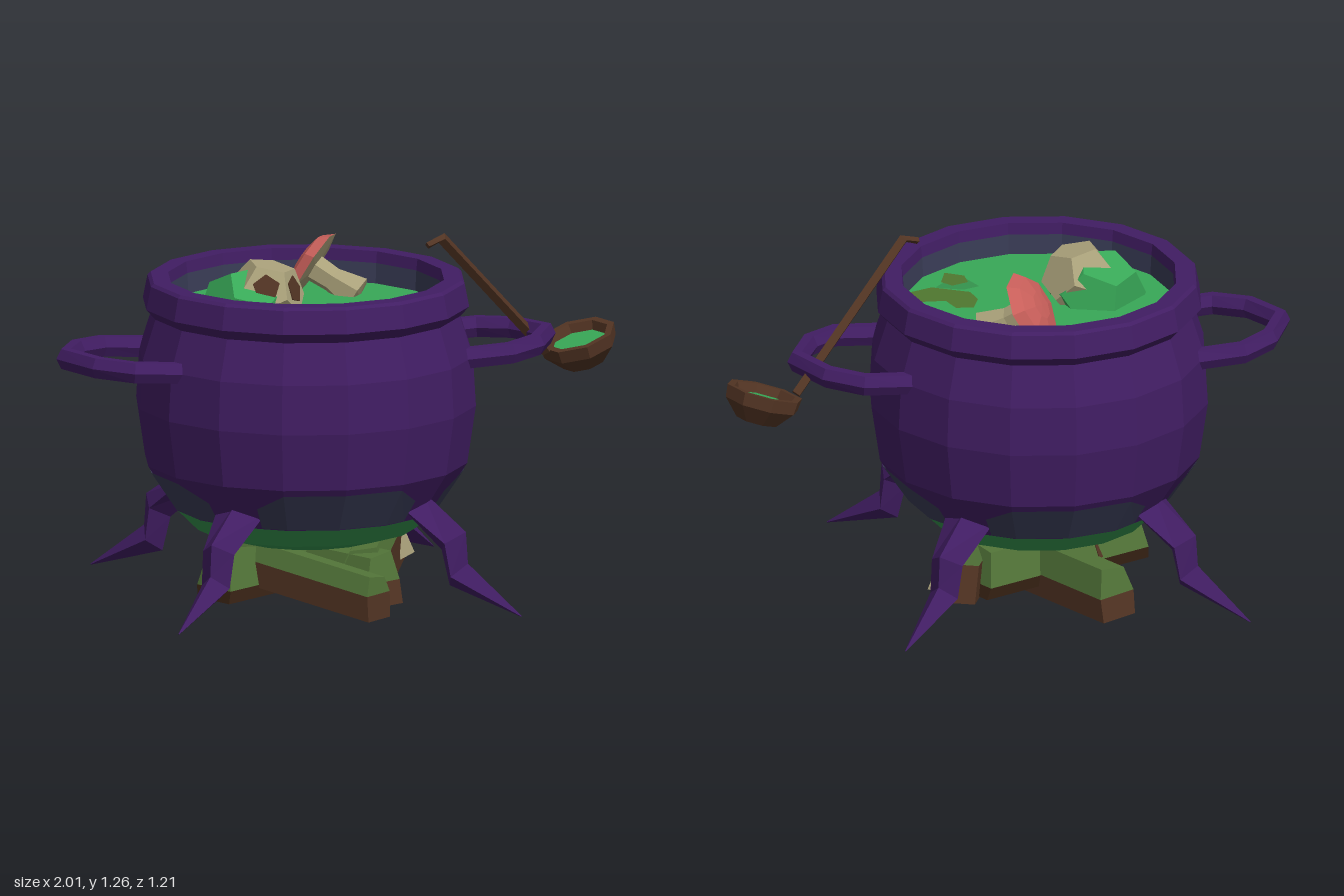
import * as THREE from 'three';

const V = (x, y, z) => new THREE.Vector3(x, y, z);
const CX = -0.125; // pot axis

function makeMaterials() {
  const colors = {
    purpleIron: 0x411d63, stainedIron: 0x393c56, gooGreen: 0x35944e, soupGreen: 0x38a857,
    bone: 0xaaa17a, wood: 0x523423, darkWood: 0x3a2415, moss: 0x527438, capRed: 0xc85f5a, sunkenOlive: 0x50782f,
  };
  const mats = {};
  for (const name in colors) {
    mats[name] = new THREE.MeshStandardMaterial({ color: colors[name], flatShading: true, side: THREE.DoubleSide });
    mats[name].name = name;
  }
  return mats;
}

// Joins cross-sections into a skin; closed rings also get end caps
function loft(rings, closed = true) {
  const n = rings[0].length, pos = [], idx = [];
  rings.forEach(r => r.forEach(p => pos.push(p.x, p.y, p.z)));
  for (let i = 0; i < rings.length - 1; i++) {
    for (let j = 0; j < (closed ? n : n - 1); j++) {
      const k = (j + 1) % n, a = i * n + j, b = i * n + k;
      idx.push(a, b, b + n, a, b + n, a + n);
    }
  }
  const e = (rings.length - 1) * n;
  for (let j = 1; closed && j < n - 1; j++) idx.push(0, j + 1, j, e, e + j, e + j + 1);
  const g = new THREE.BufferGeometry();
  g.setAttribute('position', new THREE.Float32BufferAttribute(pos, 3));
  g.setIndex(idx);
  g.computeVertexNormals();
  return g;
}

// Bar along a path; radii[i] = [across, along up]
function sweep(path, radii, up, sides) {
  return loft(path.map((p, i) => {
    const t = path[Math.min(i + 1, path.length - 1)].clone().sub(path[Math.max(i - 1, 0)]).normalize();
    const s = up.clone().cross(t).normalize(), u = t.clone().cross(s);
    const [a, b] = radii[i];
    return Array.from({ length: sides }, (_, j) => {
      const w = j / sides * Math.PI * 2;
      return p.clone().addScaledVector(s, a * Math.cos(w)).addScaledVector(u, b * Math.sin(w));
    });
  }));
}

const lathe = (pts, n = 16) => new THREE.LatheGeometry(pts.map(p => new THREE.Vector2(...p)), n);

export function createModel() {
  const M = makeMaterials();
  const model = new THREE.Group();
  model.name = 'cauldron';
  const add = (name, geo, mat, parent = model, pos = [0, 0, 0]) => {
    const m = new THREE.Mesh(geo, mat);
    m.name = name;
    m.position.set(...pos);
    parent.add(m);
    return m;
  };

  // Pot
  const pot = new THREE.Group();
  pot.name = 'pot';
  pot.position.x = CX;
  model.add(pot);
  add('potBody', lathe([[0.45, 0.33], [0.555, 0.49], [0.585, 0.69], [0.575, 0.86], [0.53, 1.0],
    [0.562, 1.035], [0.546, 1.115], [0.535, 1.125], [0.475, 1.125], [0.47, 1.085]]), M.purpleIron, pot);
  add('potBottom', lathe([[0, 0.215], [0.25, 0.222], [0.38, 0.26], [0.45, 0.33]]), M.gooGreen, pot);
  add('innerWall', lathe([[0.47, 1.085], [0.465, 1.0]]), M.stainedIron, pot);
  add('soup', lathe([[0.466, 1.015], [0, 1.015]]), M.soupGreen, pot);

  // Stained patches low on the pot, one between each pair of legs
  for (let q = 0; q < 4; q++) {
    const cols = [-34, -22.5, 0, 22.5, 34].map(d => {
      const f = Math.abs(d) % 22.5, edge = Math.abs(d) === 34;
      const k = Math.cos(Math.PI / 16) / Math.cos(THREE.MathUtils.degToRad(f - 11.25));
      const w = THREE.MathUtils.degToRad(d + q * 90);
      const prof = edge ? [[0.508, 0.41], [0.455, 0.333]] : [[0.545, 0.468], [0.455, 0.333]];
      return prof.map(([r, y]) => V(Math.sin(w) * r * k, y, Math.cos(w) * r * k));
    });
    add('stainPatch', loft(cols, false), M.stainedIron, pot);
  }

  // Legs with pointed feet
  for (let q = 0; q < 4; q++) {
    const leg = add('leg', sweep(
      [V(0.43, 0.385, 0), V(0.585, 0.265, 0), V(0.605, 0.15, 0), V(0.853, 0.03, 0)],
      [[0.05, 0.095], [0.06, 0.062], [0.055, 0.055], [0.002, 0.002]], V(0, 0, 1), 4), M.purpleIron, pot);
    leg.rotation.y = Math.PI / 4 + q * Math.PI / 2;
  }

  // Side handles
  for (const s of [1, -1]) {
    const path = [[0.5, -0.23], [0.66, -0.23], [0.77, -0.15], [0.845, 0], [0.77, 0.15], [0.66, 0.23], [0.5, 0.23]]
      .map(([x, z]) => V(x, 0.86 + (x - 0.5) * 0.06, z));
    const handle = add('handle', sweep(path, Array(7).fill([0.034, 0.04]), V(0, 1, 0), 6), M.purpleIron, pot);
    if (s < 0) handle.rotation.y = Math.PI;
  }

  // Ladle
  const ladle = new THREE.Group();
  ladle.name = 'ladle';
  model.add(ladle);
  add('ladleStick', sweep([V(0.27, 1.235, 0.125), V(0.325, 1.255, 0.105), V(0.745, 0.8, -0.095)],
    [[0.012, 0.012], [0.02, 0.02], [0.02, 0.02]], V(-0.41, 0, -0.91), 4), M.wood, ladle);
  const bowl = new THREE.Group();
  bowl.name = 'ladleBowl';
  bowl.position.set(0.865, 0.84, -0.143);
  bowl.quaternion.setFromUnitVectors(V(0, 1, 0), V(-0.28, 0.95, 0.127).normalize());
  ladle.add(bowl);
  add('bowlShell', lathe([[0, -0.115], [0.075, -0.105], [0.13, -0.045], [0.135, 0], [0.11, 0], [0.092, -0.04]], 8), M.wood, bowl);
  add('bowlSoup', lathe([[0.097, -0.03], [0, -0.03]], 8), M.soupGreen, bowl);

  // Firewood: wood below, moss above, with slanted ends
  const fire = new THREE.Group();
  fire.name = 'firewood';
  model.add(fire);
  const prism = (pts, len, slant) => {
    const g = new THREE.ExtrudeGeometry(new THREE.Shape(pts.map(p => new THREE.Vector2(...p))), { depth: len, bevelEnabled: false });
    g.translate(0, 0, -len / 2);
    const p = g.attributes.position;
    for (let i = 0; i < p.count; i++) p.setZ(i, p.getZ(i) + slant * p.getY(i) * Math.sign(p.getZ(i)));
    g.computeVertexNormals();
    return g;
  };
  // start, end, half width, half height, moss line (share of half height), end slant, wood material
  const logs = [
    [[-0.47, 0.12, 0.1], [0.14, 0.15, -0.22], 0.085, 0.085, -0.5, -0.2, M.darkWood],
    [[-0.35, 0.165, -0.02], [0.02, 0.085, 0.43], 0.065, 0.075, 0.15, -0.2, M.wood],
    [[0.08, 0.11, 0.26], [-0.3, 0.11, -0.43], 0.075, 0.09, -0.1, -0.2, M.wood],
    [[0.02, 0.11, 0.2], [0.22, 0.165, -0.28], 0.07, 0.1, 0.3, -0.2, M.wood],
  ];
  for (const [a, b, w, h, line, slant, woodMat] of logs) {
    const log = new THREE.Group();
    const A = V(...a), B = V(...b), len = A.distanceTo(B), m = h * line;
    log.name = 'log';
    log.position.copy(A).add(B).multiplyScalar(0.5);
    log.lookAt(B);
    fire.add(log);
    add('logWood', prism([[-w, -h], [w * 0.9, -h], [w, m], [-w, m]], len, slant), woodMat, log);
    add('logMoss', prism([[-w, m], [w, m], [w * 0.6, h * 0.85], [-w * 0.7, h]], len, slant), M.moss, log);
  }
  // Pale split piece leaning against the pile
  add('splitWood', sweep([V(0.25, 0.09, -0.225), V(0.24, 0.23, -0.215)], [[0.065, 0.065], [0.015, 0.015]], V(0, 0, 1), 4), M.bone, fire);

  // Skull bobbing in the soup, half covered in slime
  const skull = new THREE.Group();
  skull.name = 'skull';
  skull.position.set(-0.28, 1.075, 0.05);
  model.add(skull);
  const dome = add('skullDome', new THREE.DodecahedronGeometry(0.135), M.bone, skull);
  dome.rotation.set(-0.45, 0.35, 0);
  for (const s of [1, -1]) {
    const n = V(0.526 * s, 0, 0.851);
    const eye = add('eyeSocket', new THREE.CylinderGeometry(0.048, 0.048, 0.008, 5), M.wood, dome, n.clone().multiplyScalar(0.107).toArray());
    eye.quaternion.setFromUnitVectors(V(0, 1, 0), n);
  }
  const slime = add('skullSlime', new THREE.DodecahedronGeometry(0.17), M.soupGreen, skull, [-0.055, -0.04, -0.01]);
  slime.rotation.set(0.1, 0.2, 0.1);
  slime.scale.y = 0.85;

  // Floating mushroom lying on its side
  const mushroom = new THREE.Group();
  mushroom.name = 'mushroom';
  mushroom.position.set(-0.035, 1.1, -0.255);
  mushroom.quaternion.setFromUnitVectors(V(0, 1, 0), V(-0.74, 0.5, -0.42).normalize());
  model.add(mushroom);
  add('mushroomCap', lathe([[0.14, 0], [0.11, 0.035], [0.05, 0.05], [0, 0.052]], 8), M.capRed, mushroom);
  add('mushroomGills', lathe([[0, -0.012], [0.14, 0]], 8), M.bone, mushroom);
  add('mushroomStem', lathe([[0, -0.19], [0.07, -0.18], [0.045, -0.08], [0.05, 0]], 6), M.bone, mushroom);

  // Sunken mushroom pieces seen at the soup surface
  const sunken = [
    [[[0.07, 0.08], [0.1, 0.01], [0.16, 0.02], [0.18, 0.09], [0.28, 0.1], [0.29, 0.19], [0.2, 0.22], [0.08, 0.15]], M.sunkenOlive],
    [[[0.04, 0.19], [0.1, 0.17], [0.19, 0.21], [0.15, 0.25], [0.07, 0.27]], M.gooGreen],
    [[[0.07, 0.23], [0.13, 0.21], [0.16, 0.25], [0.13, 0.33], [0.07, 0.29]], M.sunkenOlive],
  ];
  sunken.forEach(([pts, mat], i) => {
    const g = new THREE.ShapeGeometry(new THREE.Shape(pts.map(([x, z]) => new THREE.Vector2(x, -z))));
    g.rotateX(-Math.PI / 2);
    add('sunkenMushroom', g, mat, model, [0, 1.019 + i * 0.002, 0]);
  });

  return model;
}
